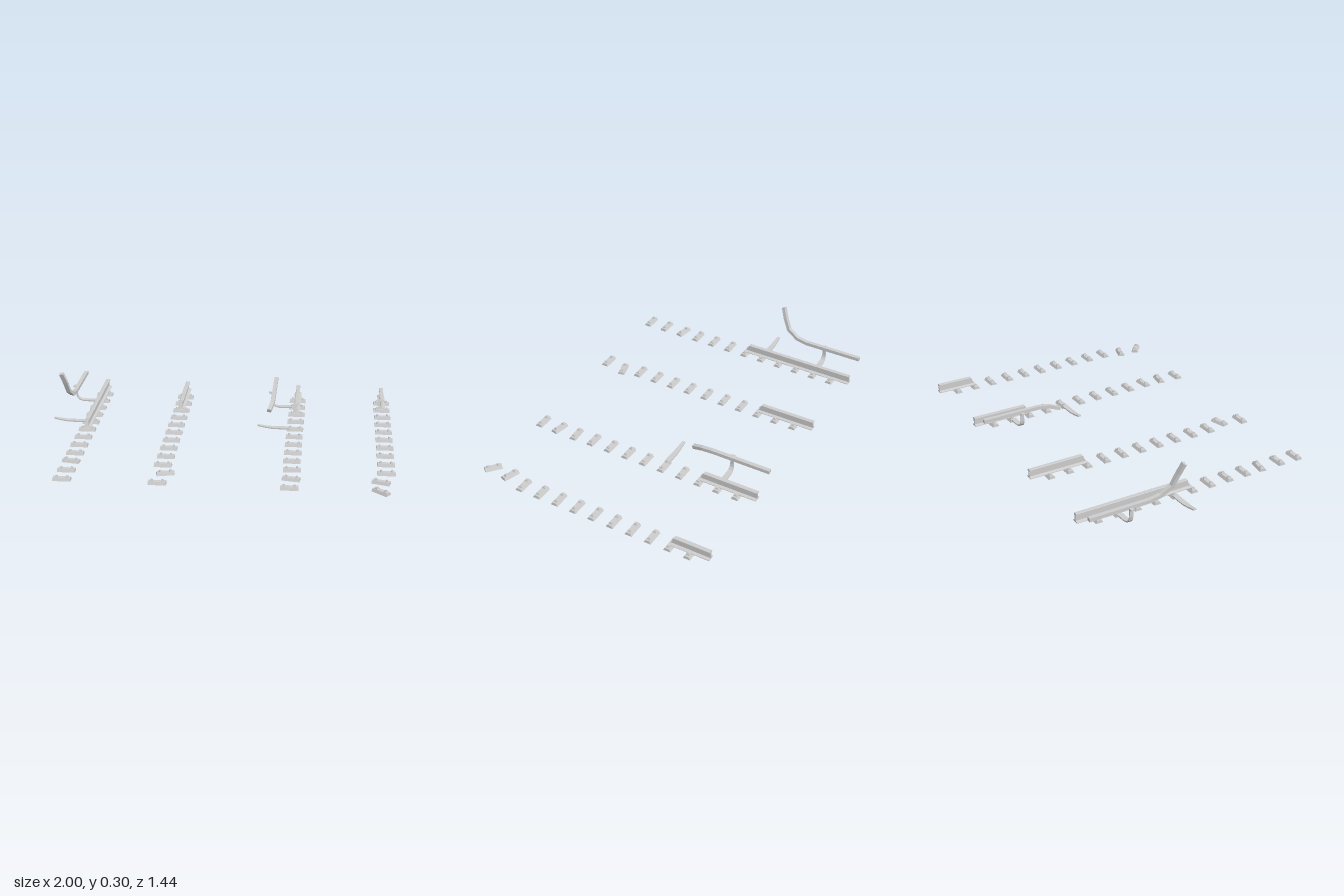
import * as THREE from 'three';

const steel = new THREE.MeshStandardMaterial({ color: 0xcccccc, flatShading: true });
const BACK = -0.72;
const tieZ = (i) => -0.605 + 0.1157 * i;

function add(parent, geometry, name, x = 0, y = 0, z = 0) {
  const mesh = new THREE.Mesh(geometry, steel);
  mesh.name = name;
  mesh.position.set(x, y, z);
  parent.add(mesh);
  return mesh;
}

// Sweeps a rectangle along points; each station is [x, y, z, width], side is the width axis.
function sweep(stations, side, height) {
  const pts = stations.map((s) => new THREE.Vector3(s[0], s[1], s[2]));
  const pos = [], index = [], last = pts.length - 1;
  pts.forEach((p, i) => {
    const t = pts[Math.min(i + 1, last)].clone().sub(pts[Math.max(i - 1, 0)]).normalize();
    const up = t.clone().cross(side).normalize();
    const s = up.clone().cross(t).normalize();
    for (const [a, b] of [[1, 1], [-1, 1], [-1, -1], [1, -1]]) {
      const v = p.clone().addScaledVector(s, a * stations[i][3] / 2).addScaledVector(up, b * height / 2);
      pos.push(v.x, v.y, v.z);
    }
    if (i === last) return;
    for (let j = 0; j < 4; j++) {
      const a = i * 4 + j, b = i * 4 + (j + 1) % 4;
      index.push(a, b, b + 4, a, b + 4, a + 4);
    }
  });
  const e = last * 4;
  index.push(0, 2, 1, 0, 3, 2, e, e + 1, e + 2, e, e + 2, e + 3);
  const g = new THREE.BufferGeometry();
  g.setAttribute('position', new THREE.Float32BufferAttribute(pos, 3));
  g.setIndex(index);
  g.computeVertexNormals();
  return g;
}

// Sleeper with tapered sides
function tieGeometry() {
  const g = new THREE.BoxGeometry(0.098, 0.016, 0.042).translate(0, 0.008, 0);
  const p = g.attributes.position;
  for (let i = 0; i < p.count; i++) {
    if (p.getY(i) > 0.01) p.setXYZ(i, p.getX(i) * 0.97, p.getY(i), p.getZ(i) * 0.6);
  }
  return g;
}
const tieGeo = tieGeometry();
const clipGeo = new THREE.CylinderGeometry(0.008, 0.012, 0.009, 4, 1).rotateY(Math.PI / 4).scale(0.9, 1, 1.4);
const boltGeo = new THREE.CylinderGeometry(0.0035, 0.0035, 0.004, 6);

function makeTie(x, z, turn) {
  const tie = new THREE.Group();
  tie.name = 'sleeper';
  tie.position.set(x, 0, z);
  tie.rotation.y = turn;
  add(tie, tieGeo, 'sleeperBeam');
  for (const s of [-1, 1]) {
    add(tie, clipGeo, 'railClip', s * 0.029, 0.0195, 0);
    add(tie, boltGeo, 'clipBolt', s * 0.029, 0.025, 0);
  }
  return tie;
}

// Flat-footed rail whose front end is cut at a slant
function railGeometry(front) {
  const half = [[0.0215, 0.018], [0.0215, 0.021], [0.005, 0.026], [0.005, 0.057], [0.012, 0.06], [0.012, 0.066], [0.009, 0.068]];
  const outline = [...half, ...half.map(([x, y]) => [-x, y]).reverse()];
  const shape = new THREE.Shape(outline.map(([x, y]) => new THREE.Vector2(x, y)));
  const g = new THREE.ExtrudeGeometry(shape, { depth: front - BACK, bevelEnabled: false }).translate(0, 0, BACK);
  const p = g.attributes.position;
  for (let i = 0; i < p.count; i++) {
    if (p.getZ(i) > BACK + 0.01) p.setZ(i, front - 0.5 * (p.getY(i) - 0.018));
  }
  g.computeVertexNormals();
  return g;
}

// Side arms and raised conductor rail; end lists the bent front stations
function makeConductor(end) {
  const group = new THREE.Group();
  group.name = 'conductor';
  const zAxis = new THREE.Vector3(0, 0, 1), xAxis = new THREE.Vector3(1, 0, 0);
  const z1 = tieZ(1) + 0.005, z4 = tieZ(4);
  add(group, sweep([[-0.03, 0.013, z4, 0.032], [-0.08, 0.012, z4, 0.032], [-0.13, 0.012, z4, 0.03],
    [-0.17, 0.016, z4, 0.025], [-0.22, 0.025, z4, 0.018]], zAxis, 0.007), 'bentArm');
  add(group, sweep([[-0.03, 0.013, z1, 0.032], [-0.08, 0.012, z1, 0.032], [-0.115, 0.013, z1, 0.03],
    [-0.138, 0.021, z1, 0.027], [-0.151, 0.036, z1, 0.024], [-0.155, 0.055, z1, 0.021],
    [-0.155, 0.104, z1, 0.02]], zAxis, 0.007), 'supportArm');
  add(group, new THREE.BoxGeometry(0.036, 0.008, 0.02), 'supportBracket', -0.155, 0.102, z1);
  add(group, sweep([[-0.14, 0.107, BACK, 0.024], [-0.14, 0.107, -0.37, 0.024], ...end], xAxis, 0.02), 'conductorRail');
  return group;
}

// One entry per track rail; moved: sleeper index -> [x shift, z shift, turn]
const rows = [
  { x: -0.78, front: -0.025, moved: { 9: [0, -0.008, -0.17] },
    end: [[-0.142, 0.119, -0.305, 0.024], [-0.15, 0.16, -0.242, 0.025], [-0.16, 0.225, -0.212, 0.026], [-0.177, 0.289, -0.187, 0.026]] },
  { x: -0.267, front: -0.37, moved: { 10: [0.029, -0.008, 0.25] } },
  { x: 0.434, front: -0.37, moved: { 9: [0.005, 0, 0.07], 10: [0.005, 0, -0.17] },
    end: [[-0.144, 0.099, -0.305, 0.024], [-0.158, 0.077, -0.24, 0.024]] },
  { x: 0.95, front: -0.485, moved: { 10: [-0.033, 0, -0.3], 11: [-0.036, 0.002, -0.7] } },
];

export function createModel() {
  const model = new THREE.Group();
  model.name = 'brokenRailway';
  for (const row of rows) {
    const track = new THREE.Group();
    track.name = 'track';
    track.position.x = row.x;
    add(track, railGeometry(row.front), 'rail');
    for (let i = 0; i < 12; i++) {
      const [dx, dz, turn] = row.moved[i] || [0, 0, 0];
      track.add(makeTie(dx, tieZ(i) + dz, turn));
    }
    if (row.end) track.add(makeConductor(row.end));
    model.add(track);
  }
  return model;
}
